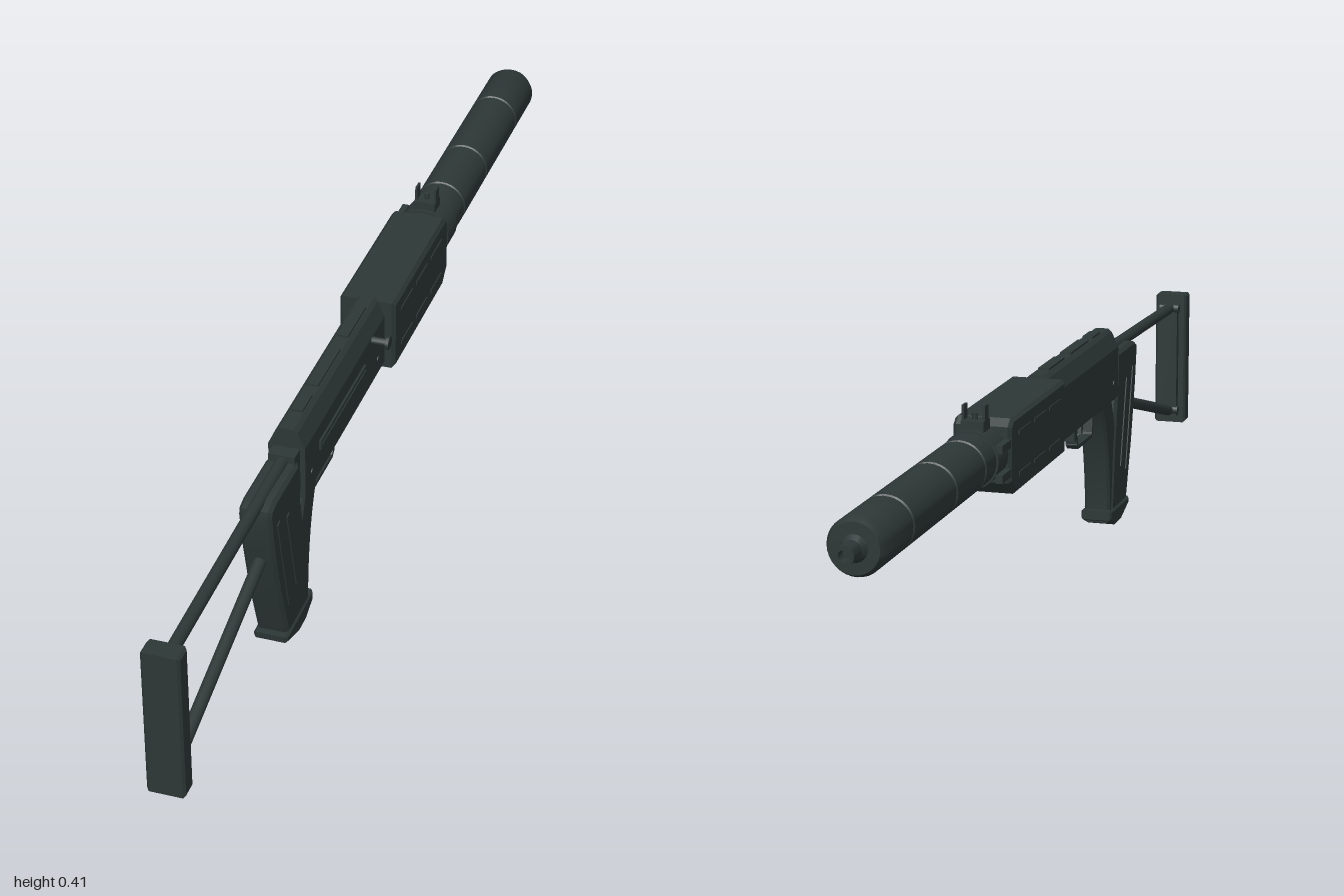
import * as THREE from 'three';
import { toCreasedNormals } from 'three/addons/utils/BufferGeometryUtils.js';

export function createModel() {
  const model = new THREE.Group();
  const body = new THREE.Group(); // everything is built around the bore plane
  body.position.x = -0.005;
  model.add(body);
  const gunmetal = new THREE.MeshStandardMaterial({ color: 0x2d3736 });
  gunmetal.name = 'gunmetal';

  const add = (name, geo) => {
    const mesh = new THREE.Mesh(geo, gunmetal);
    mesh.name = name;
    body.add(mesh);
    return mesh;
  };
  const box = (name, w, h, d, x, y, z, tilt = 0) => {
    const m = add(name, new THREE.BoxGeometry(w, h, d));
    m.position.set(x, y, z);
    m.rotation.x = tilt;
    return m;
  };
  // Side outline given as [z, y], extruded across x with bevelled edges
  const slab = (name, pts, width, bevel = 0.004, x = 0) => {
    const shape = new THREE.Shape(pts.map(p => new THREE.Vector2(...p)));
    const geo = new THREE.ExtrudeGeometry(shape, {
      depth: width - 2 * bevel, bevelEnabled: bevel > 0, bevelThickness: bevel,
      bevelSize: bevel, bevelOffset: -bevel, bevelSegments: 1
    });
    geo.translate(0, 0, -(width - 2 * bevel) / 2);
    geo.rotateY(-Math.PI / 2);
    add(name, toCreasedNormals(geo, 0.5)).position.x = x;
  };
  // Round bar between two points
  const rod = (name, a, b, r, sides = 12) => {
    const from = new THREE.Vector3(...a), to = new THREE.Vector3(...b);
    const m = add(name, new THREE.CylinderGeometry(r, r, from.distanceTo(to), sides));
    m.position.copy(from).add(to).multiplyScalar(0.5);
    m.quaternion.setFromUnitVectors(new THREE.Vector3(0, 1, 0), to.sub(from).normalize());
  };

  // Skeleton stock
  slab('buttPlate', [[0.965, 0.08], [1, 0.08], [1, 0.35], [0.965, 0.35]], 0.064, 0.004);
  box('buttPlateInset', 0.034, 0.235, 0.02, 0, 0.213, 0.96);
  rod('upperStockStrut', [0, 0.323, 0.965], [0, 0.335, 0.42], 0.011);
  rod('lowerStockStrut', [0, 0.105, 0.96], [0, 0.222, 0.53], 0.011);
  for (const y of [0.323, 0.108]) rod('strutPivot', [-0.02, y, 0.955], [0.02, y, 0.955], 0.009, 10);

  // Receiver with a chamfered dust cover
  const section = new THREE.Shape([
    [-0.028, 0.25], [0.028, 0.25], [0.032, 0.256], [0.032, 0.35], [0.019, 0.378],
    [0.012, 0.384], [-0.012, 0.384], [-0.019, 0.378], [-0.032, 0.35], [-0.032, 0.256]
  ].map(p => new THREE.Vector2(...p)));
  const receiver = new THREE.ExtrudeGeometry(section, { depth: 0.435, bevelEnabled: false });
  receiver.translate(0, 0, -0.012);
  add('receiver', toCreasedNormals(receiver, 0.4));
  for (const [z, d] of [[0.345, 0.05], [0.23, 0.12], [0.08, 0.1]])
    box('coverRib', 0.02, 0.006, d, 0, 0.385, z);
  box('rearTrunnion', 0.046, 0.08, 0.035, 0, 0.308, 0.432);
  box('sideRail', 0.006, 0.018, 0.245, 0.033, 0.312, 0.23);
  box('sideRailLip', 0.008, 0.005, 0.235, 0.034, 0.312, 0.23);
  for (const z of [0.03, 0.39]) rod('receiverPin', [-0.034, 0.285, z], [0.034, 0.285, z], 0.006, 10);
  rod('boltHandle', [0.02, 0.343, 0.062], [0.06, 0.343, 0.062], 0.007);
  rod('boltKnob', [0.058, 0.343, 0.062], [0.064, 0.343, 0.062], 0.012);

  // Handguard with pressed ridges
  slab('handguard', [[-0.008, 0.245], [-0.008, 0.378], [-0.32, 0.378], [-0.335, 0.366],
    [-0.335, 0.27], [-0.305, 0.245]].reverse(), 0.102, 0.006);
  for (const s of [-1, 1]) for (const y of [0.348, 0.277]) for (let i = 0; i < 3; i++)
    box('handguardRidge', 0.004, 0.007, 0.066, s * 0.051, y, -0.078 - i * 0.09);

  // Long muzzle tube, turned in one piece with shallow grooves
  const profile = [[0, 0.3], [0.045, 0.3]];
  for (const z of [0.46, 0.61, 0.82])
    profile.push([0.047, z - 0.005], [0.0445, z - 0.003], [0.0445, z + 0.003], [0.047, z + 0.005]);
  profile.push([0.047, 0.945], [0.041, 0.957], [0.022, 0.957], [0.016, 0.967], [0.016, 1], [0.009, 1], [0.009, 0.98], [0, 0.98]);
  const tube = new THREE.LatheGeometry(profile.map(p => new THREE.Vector2(...p)), 32);
  tube.rotateX(-Math.PI / 2);
  add('muzzleTube', toCreasedNormals(tube, 0.5)).position.y = 0.322;

  // Front sight block
  rod('sightCollar', [0, 0.322, -0.345], [0, 0.322, -0.4], 0.0495, 24);
  box('sightBase', 0.04, 0.02, 0.035, 0, 0.375, -0.37);
  rod('sightPost', [0, 0.37, -0.37], [0, 0.396, -0.37], 0.005, 8);
  for (const s of [-1, 1]) box('sightEar', 0.004, 0.034, 0.02, s * 0.018, 0.393, -0.37);
  for (const y of [0.342, 0.292]) box('slingLug', 0.012, 0.014, 0.05, -0.049, y, -0.372);

  // Tapered rear housing and its raised ribs
  slab('rearHousing', [[0.582, 0.312], [0.572, 0.25], [0.545, 0.14], [0.508, 0.03], [0.4, 0.03],
    [0.412, 0.14], [0.432, 0.25], [0.44, 0.335], [0.555, 0.335], [0.58, 0.328]], 0.056, 0.006);
  for (const s of [-1, 1]) for (const [z, h] of [[0.525, 0.2], [0.483, 0.17]])
    box('housingRib', 0.005, h, 0.012, s * 0.0275, 0.19, z, 0.24);

  // Curved front grip sweeping down to the same foot
  const outer = new THREE.QuadraticBezierCurve(
    new THREE.Vector2(0.32, 0.272), new THREE.Vector2(0.39, 0.19), new THREE.Vector2(0.394, 0.01));
  const inner = new THREE.QuadraticBezierCurve(
    new THREE.Vector2(0.47, 0.01), new THREE.Vector2(0.455, 0.16), new THREE.Vector2(0.395, 0.272));
  const gripOutline = [...outer.getPoints(10), ...inner.getPoints(10)].map(p => [p.x, p.y]).reverse();
  slab('curvedGrip', gripOutline, 0.05, 0.005);
  slab('gripFoot', [[0.522, 0.033], [0.52, 0.02], [0.46, 0.0], [0.425, 0.0], [0.385, 0.017], [0.385, 0.036]], 0.06, 0.004);

  // Trigger group
  const guard = [[0.325, 0.255], [0.318, 0.205], [0.312, 0.2], [0.222, 0.2], [0.214, 0.207], [0.207, 0.255]];
  for (let i = 0; i < guard.length - 1; i++) {
    const [z0, y0] = guard[i], [z1, y1] = guard[i + 1];
    box('triggerGuard', 0.022, 0.007, Math.hypot(z1 - z0, y1 - y0) + 0.005, 0,
      (y0 + y1) / 2, (z0 + z1) / 2, -Math.atan2(y1 - y0, z1 - z0));
  }
  slab('trigger', [[0.272, 0.255], [0.274, 0.235], [0.266, 0.215], [0.258, 0.215], [0.262, 0.235], [0.252, 0.255]], 0.012, 0.001);
  box('releaseCatch', 0.024, 0.036, 0.014, 0, 0.235, 0.196);
  return model;
}
